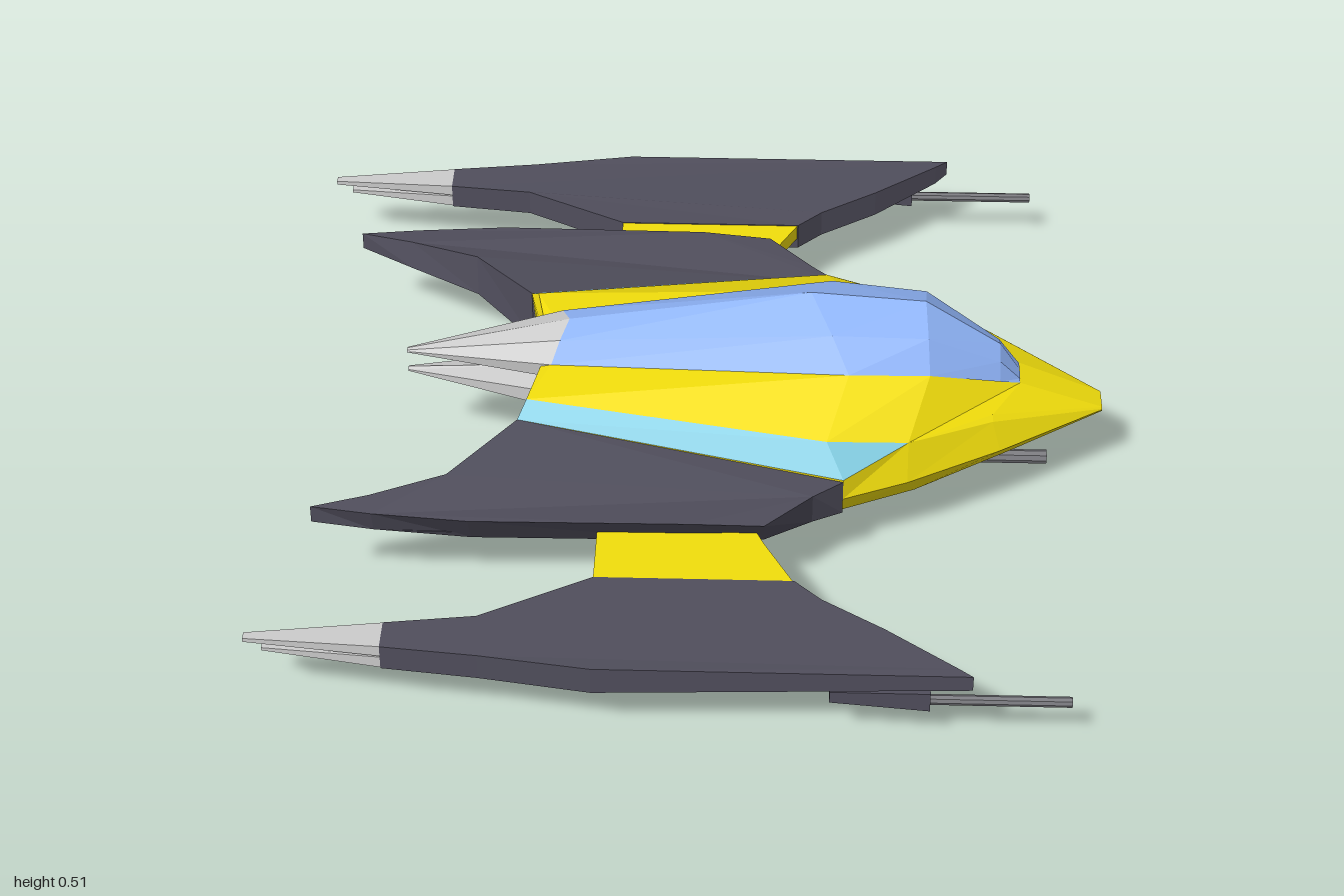
import * as THREE from 'three';

const paint = (color) => new THREE.MeshStandardMaterial({ color, flatShading: true, side: THREE.DoubleSide });
const lerp = THREE.MathUtils.lerp;
const clamp01 = (v) => THREE.MathUtils.clamp(v, 0, 1);

export function createModel() {
  const model = new THREE.Group();
  const yellow = paint(0xf2de0c), dark = paint(0x504e5c), glass = paint(0x90b5fa);
  const cyan = paint(0x80cbe0), grey = paint(0xcccccc), steel = paint(0x77777c);

  const add = (name, geometry, material) => {
    const mesh = new THREE.Mesh(geometry, material);
    mesh.name = name;
    model.add(mesh);
    return mesh;
  };

  // Skin over rails (listed bottom to top, each running rear to front); s = -1 mirrors it
  function skin(rails, s) {
    const pos = [];
    const tri = (a, b, c) => (s > 0 ? [a, b, c] : [a, c, b]).forEach((p) => pos.push(p[0], p[1], p[2] * s));
    for (let r = 0; r < rails.length - 1; r++) {
      for (let i = 0; i < rails[r].length - 1; i++) {
        const a = rails[r][i], b = rails[r][i + 1], c = rails[r + 1][i + 1], d = rails[r + 1][i];
        tri(a, b, c);
        tri(a, c, d);
      }
    }
    const g = new THREE.BufferGeometry();
    g.setAttribute('position', new THREE.Float32BufferAttribute(pos, 3));
    g.computeVertexNormals();
    return g;
  }

  // Plate from an (x, z) outline; place(x, z, t) gives [y, z] for the bottom (t=0) and top (t=1)
  function plate(outline, s, place) {
    const shape = new THREE.Shape(outline.map(([x, z]) => new THREE.Vector2(x, -z * s)));
    const g = new THREE.ExtrudeGeometry(shape, { depth: 1, bevelEnabled: false });
    const p = g.attributes.position;
    for (let i = 0; i < p.count; i++) {
      const x = p.getX(i);
      const [y, z] = place(x, -p.getY(i) * s, p.getZ(i));
      p.setXYZ(i, x, y, z * s);
    }
    g.computeVertexNormals();
    return g;
  }

  // Hull rails, one half
  const keelMid = [[-0.35, 0.18, 0], [0.42, 0.055, 0], [0.56, 0.055, 0], [0.8, 0.13, 0], [0.97, 0.2, 0]];
  const keel = keelMid.map(([x, y]) => [x, y, 0.03]);
  const chine = [[-0.38, 0.175, 0.24], [0.35, 0.15, 0.36], [0.52, 0.14, 0.27], [0.75, 0.16, 0.14], [0.97, 0.2, 0.033]];
  const side = [[-0.4, 0.205, 0.25], [0.35, 0.205, 0.39], [0.5, 0.205, 0.325], [0.72, 0.205, 0.2], [0.97, 0.205, 0.035]];
  const flank = [[-0.41, 0.31, 0.25], [0.35, 0.258, 0.387], [0.5, 0.295, 0.29], [0.7, 0.275, 0.18], [0.97, 0.207, 0.034]];
  const shoulder = [[-0.39, 0.34, 0.21], [0.31, 0.325, 0.33], [0.5, 0.295, 0.29], [0.7, 0.285, 0.165], [0.97, 0.21, 0.03]];
  const sill = [[-0.34, 0.35, 0.09], [0.36, 0.395, 0.168], [0.55, 0.38, 0.145], [0.77, 0.285, 0.04], [0.97, 0.21, 0.03]];
  const deck = sill.map(([x, y]) => [x, y, 0]);

  // Canopy rails, one half
  const canopyEdge = [[-0.34, 0.35, 0.09], [0.36, 0.395, 0.168], [0.55, 0.38, 0.145], [0.72, 0.31, 0.07], [0.77, 0.285, 0.04]];
  const canopyMid = [[-0.32, 0.4, 0.06], [0.32, 0.465, 0.11], [0.545, 0.45, 0.095], [0.72, 0.35, 0.045], [0.77, 0.29, 0.03]];
  const canopyTop = [[-0.3, 0.42, 0], [0.27, 0.51, 0], [0.54, 0.49, 0], [0.72, 0.37, 0], [0.77, 0.295, 0]];

  // Tail spikes, one half
  const tip = (y, z) => [-0.69, y, z];
  const upperSpike = [
    [tip(0.317, 0), [-0.34, 0.31, 0]],
    [tip(0.317, 0.008), [-0.34, 0.31, 0.085]],
    [tip(0.32, 0.008), [-0.34, 0.35, 0.09]],
    [tip(0.323, 0.006), [-0.32, 0.4, 0.06]],
    [tip(0.325, 0), [-0.3, 0.42, 0]],
  ];
  const lowerSpike = [
    [tip(0.26, 0), [-0.34, 0.2, 0]],
    [tip(0.262, 0.008), [-0.34, 0.22, 0.085]],
    [tip(0.266, 0.008), [-0.34, 0.265, 0.085]],
    [tip(0.27, 0), [-0.34, 0.285, 0]],
  ];

  const innerOutline = [[0.35, 0.39], [0.28, 0.45], [0.17, 0.565], [0, 0.575], [-0.5, 0.58], [-0.72, 0.56],
    [-0.86, 0.54], [-0.73, 0.5], [-0.56, 0.43], [-0.41, 0.25]];
  const innerPlace = (x, z, t) => {
    if (t > 0.5) {
      const rise = 0.035 * clamp01((0.55 - z) / 0.3) * clamp01((0.35 - x) / 0.75);
      return [0.275 + rise - 0.02 * clamp01(x / 0.35), z];
    }
    const k = clamp01((-0.45 - x) / 0.41);
    return [lerp(0.165, 0.232, k), z - (1 - k) * 0.075 * clamp01((z - 0.39) / 0.18)];
  };

  const outerOutline = [[0.63, 1], [-0.2, 1], [-0.45, 0.96], [-0.665, 0.935], [-0.665, 0.855], [-0.46, 0.83],
    [-0.21, 0.695], [0.24, 0.695], [0.3, 0.755], [0.44, 0.85], [0.6, 0.975]];
  const outerPlace = (x, z, t) => [t > 0.5 ? 0.217 - 0.006 * clamp01((-0.2 - x) / 0.46)
    : 0.148 + 0.03 * clamp01((x - 0.56) / 0.07), z];

  // Barrel or pod lying along x
  function rod(name, x0, x1, y, z, r, sides, material, r1 = r) {
    const g = new THREE.CylinderGeometry(r1, r, x1 - x0, sides).rotateZ(-Math.PI / 2);
    add(name, g, material).position.set((x0 + x1) / 2, y, z);
  }

  for (const s of [1, -1]) {
    const n = s > 0 ? 'left' : 'right';
    add(n + 'LowerHull', skin([keelMid, keel, chine, side, flank], s), yellow);
    add(n + 'UpperHull', skin([shoulder, sill, deck], s), yellow);
    add(n + 'NoseFlank', skin([flank.slice(2), shoulder.slice(2)], s), yellow);
    add(n + 'Stripe', skin([flank.slice(0, 3), shoulder.slice(0, 3)], s), cyan);
    // Closing walls at rear and nose
    const rails = [keelMid, keel, chine, side, flank, shoulder, sill, deck];
    add(n + 'RearWall', skin(rails.map((r) => [[-0.35, r[0][1], 0], r[0]]), -s).scale(1, 1, -1), yellow);
    add(n + 'NoseCap', skin(rails.map((r) => [r[4], [0.97, r[4][1], 0]]), s), yellow);
    add(n + 'Canopy', skin([canopyEdge, canopyMid, canopyTop], s), glass);
    add(n + 'UpperSpike', skin(upperSpike, s), grey);
    add(n + 'LowerSpike', skin(lowerSpike, s), grey);

    // Wings and the pylon between them
    add(n + 'InnerWing', plate(innerOutline, s, innerPlace), dark);
    add(n + 'WingPylon', plate([[-0.21, 0.45], [-0.21, 0.7], [0.24, 0.7], [0.17, 0.565], [0.12, 0.45]], s,
      (x, z, t) => [t > 0.5 ? 0.215 : 0.176, z]), yellow);
    add(n + 'OuterWing', plate(outerOutline, s, outerPlace), dark);

    // Forked tail on the outer wing
    [[-0.97, 0.183, 0.211, 0.19, 0.2], [-0.93, 0.15, 0.18, 0.166, 0.174]].forEach(([end, lo, hi, tipLo, tipHi], i) => {
      const outline = [[-0.66, 0.935], [end, 0.905], [end, 0.885], [-0.66, 0.855]];
      add(n + (i ? 'LowerProng' : 'UpperProng'), plate(outline, s, (x, z, t) => {
        const k = (-0.66 - x) / (-0.66 - end);
        return [t > 0.5 ? lerp(hi, tipHi, k) : lerp(lo, tipLo, k), z];
      }), grey);
    });

    // Gun under the outer wing
    const pod = [[0.32, 0.955], [0.32, 0.99], [0.54, 0.99], [0.54, 0.955]];
    add(n + 'GunPod', plate(pod, s, (x, z, t) => [t > 0.5 ? 0.155 : x < 0.4 ? 0.125 : 0.105, z]), dark);
    rod(n + 'GunBarrel', 0.5, 0.85, 0.125, s * 0.973, 0.012, 8, steel);
  }

  // Belly gun
  const belly = [[0.4, 0.012], [0.45, 0.025], [0.61, 0.025], [0.65, 0.018], [0.65, -0.018], [0.61, -0.025],
    [0.45, -0.025], [0.4, -0.012]];
  add('bellyGunPod', plate(belly, 1, (x, z, t) => {
    const end = x < 0.42 || x > 0.63 ? 0.008 : 0;
    return [t > 0.5 ? 0.06 - end : end, z];
  }), yellow);
  rod('bellyGunBarrel', 0.63, 0.85, 0.03, 0, 0.017, 8, steel);
  return model;
}
